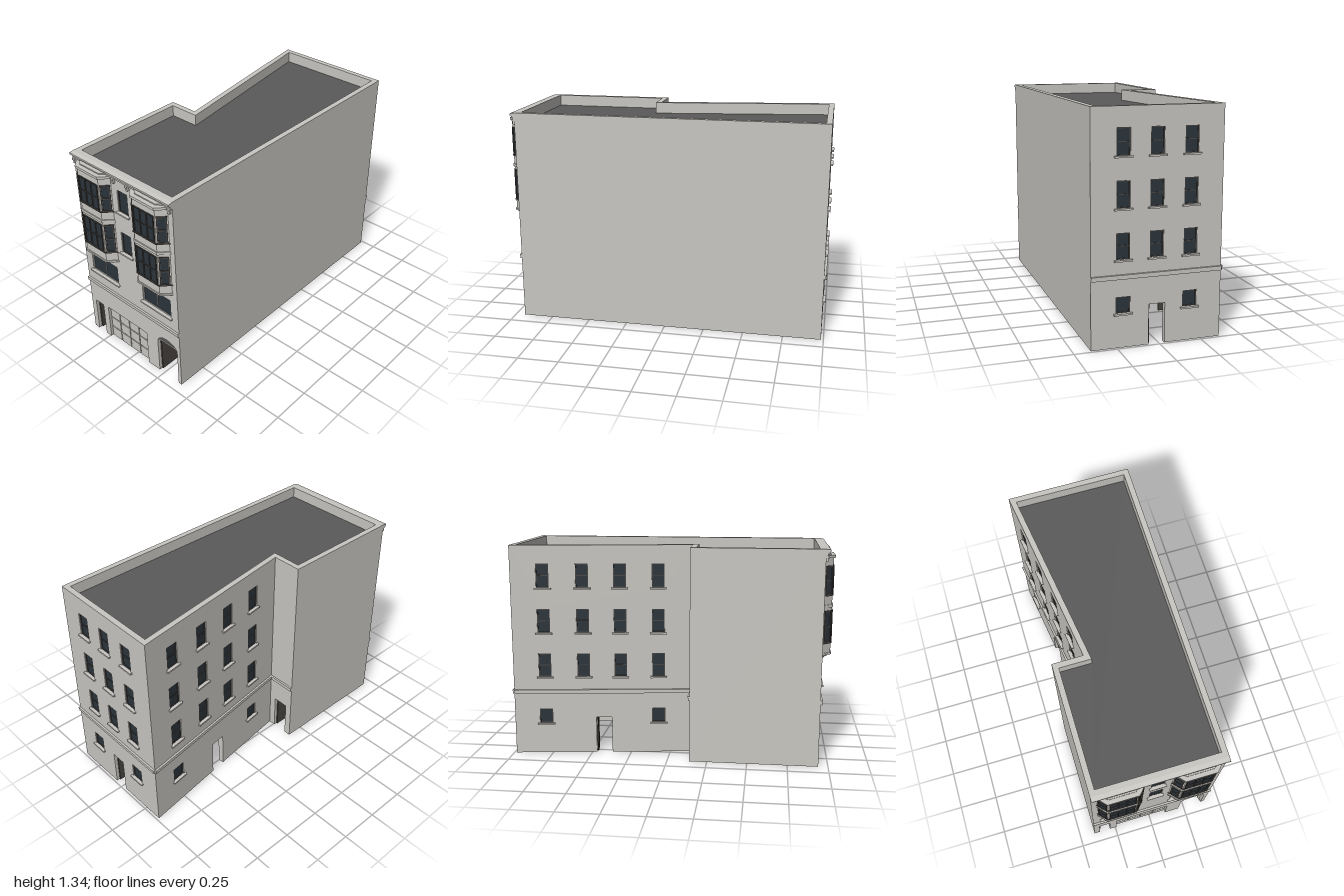
import * as THREE from 'three';

const mat = (name, color) => Object.assign(new THREE.MeshStandardMaterial({ color }), { name });
const wallMat = mat('stone', 0xc9c7c2);
const roofMat = mat('roofing', 0x5a5a5a);
const glassMat = mat('glass', 0x2b343b);
const frameMat = mat('darkFrame', 0x4a4642);

const H = 1.34, T = 0.035, DECK = 1.27;
// footprint corners (x, z), counter-clockwise from above
const PLAN = [[-0.4, 0.94], [0.4, 0.94], [0.4, -0.985], [-0.37, -0.985], [-0.21, 0.14], [-0.4, 0.14]];

function add(parent, name, geometry, material, x = 0, y = 0, z = 0) {
  const m = new THREE.Mesh(geometry, material);
  m.name = name;
  m.position.set(x, y, z);
  parent.add(m);
  return m;
}
const box = (parent, name, material, w, h, d, x, y, z) =>
  add(parent, name, new THREE.BoxGeometry(w, h, d), material, x, y, z);

// glass pane with a grid of sash bars; z is the pane's face
function glazing(parent, cx, cy, w, h, cols, rows, z, bar = 0.005, barMat = frameMat) {
  const g = new THREE.Group();
  g.name = 'window';
  g.position.set(cx, cy, z);
  parent.add(g);
  box(g, 'pane', glassMat, w, h, 0.004, 0, 0, 0);
  for (let i = 0; i <= cols; i++)
    box(g, 'upright', barMat, bar, h, 0.009, (w - bar) * (i / cols - 0.5), 0, 0.002);
  for (let j = 0; j <= rows; j++)
    box(g, 'rail', barMat, w, bar, 0.008, 0, (h - bar) * (j / rows - 0.5), 0.002);
}

// wall in its own frame: x along, y up, z outward; doors cut the outline, windows are holes
function buildWall(parent, L, miterA, miterB, { windows = [], doors = [], band = false }) {
  const s = new THREE.Shape();
  s.moveTo(0, 0);
  for (const d of doors) {
    const a = d.u - d.w / 2, b = d.u + d.w / 2;
    s.lineTo(a, 0);
    s.lineTo(a, d.h);
    if (d.arch) s.absellipse(d.u, d.h, d.w / 2, d.arch, Math.PI, 0, true);
    else s.lineTo(b, d.h);
    s.lineTo(b, 0);
  }
  s.lineTo(L, 0);
  s.lineTo(L, H);
  s.lineTo(0, H);
  s.closePath();
  for (const w of windows) {
    const a = w.u - w.w / 2, b = w.u + w.w / 2, p = new THREE.Path();
    p.moveTo(a, w.y);
    p.lineTo(a, w.y + w.h);
    p.lineTo(b, w.y + w.h);
    p.lineTo(b, w.y);
    p.closePath();
    s.holes.push(p);
  }
  const geo = new THREE.ExtrudeGeometry(s, { depth: T, bevelEnabled: false, curveSegments: 12 });
  geo.translate(0, 0, -T);
  // mitre the inner corners
  const pos = geo.attributes.position;
  for (let i = 0; i < pos.count; i++) {
    const x = pos.getX(i), depth = -pos.getZ(i);
    if (x < 1e-5) pos.setX(i, x + depth * miterA);
    else if (x > L - 1e-5) pos.setX(i, x - depth * miterB);
  }
  geo.computeVertexNormals();
  add(parent, 'wall', geo, wallMat);

  for (const w of windows) {
    glazing(parent, w.u, w.y + w.h / 2, w.w, w.h, w.cols || 1, w.rows || 1, -0.012, 0.005, w.bar);
    box(parent, 'sill', wallMat, w.w + 0.025, 0.01, 0.027, w.u, w.y - 0.005, 0.0015);
  }
  for (const d of doors) {
    if (d.garage) continue;
    // leaf standing open on its left hinge
    const leaf = d.w * 0.85;
    box(parent, 'openDoor', frameMat, 0.008, d.h - 0.004, leaf, d.u - d.w / 2 + 0.006, d.h / 2, -0.02 - leaf / 2);
  }
  if (band) {
    box(parent, 'stringCourse', wallMat, L, 0.026, 0.012, L / 2, 0.408, 0.004);
    box(parent, 'stringCourseLip', wallMat, L, 0.008, 0.018, L / 2, 0.417, 0.004);
  }
}

// slab with the bay's three-sided plan, grown by g
function baySlab(parent, name, y0, y1, g, material = wallMat) {
  const s = new THREE.Shape();
  s.moveTo(-0.138 - g, 0.01);
  s.lineTo(-0.138 - g, 0);
  s.lineTo(-0.088 - g * 0.5, -0.05 - g);
  s.lineTo(0.088 + g * 0.5, -0.05 - g);
  s.lineTo(0.138 + g, 0);
  s.lineTo(0.138 + g, 0.01);
  s.closePath();
  const geo = new THREE.ExtrudeGeometry(s, { depth: y1 - y0, bevelEnabled: false });
  geo.rotateX(-Math.PI / 2);
  add(parent, name, geo, material, 0, y0, 0);
}

function buildBay(parent, x) {
  const bay = new THREE.Group();
  bay.name = 'bayWindow';
  bay.position.set(x, 0, 0.94);
  parent.add(bay);
  baySlab(bay, 'bayBody', 0.7, 1.29, 0);
  baySlab(bay, 'bayLowerCorbel', 0.672, 0.684, -0.035);
  baySlab(bay, 'bayCorbel', 0.684, 0.696, -0.016);
  baySlab(bay, 'bayBaseMoulding', 0.696, 0.708, 0.006);
  baySlab(bay, 'bayMiddleMoulding', 0.985, 1.003, 0.006);
  baySlab(bay, 'bayCornice', 1.282, 1.298, 0.01);
  baySlab(bay, 'bayCap', 1.298, 1.305, -0.016);
  for (const [y0, y1] of [[0.77, 0.967], [1.06, 1.237]]) {
    baySlab(bay, 'baySill', y0 - 0.005, y0 + 0.001, 0.007, frameMat);
    const cy = (y0 + y1) / 2, h = y1 - y0;
    glazing(bay, 0, cy, 0.16, h, 3, 2, 0.05, 0.006);
    for (const side of [-1, 1]) {
      const face = new THREE.Group();
      face.name = 'baySide';
      face.position.set(side * 0.113, 0, 0.025);
      face.rotation.y = side * Math.PI / 4;
      bay.add(face);
      glazing(face, 0, cy, 0.058, h, 1, 2, 0, 0.008);
    }
  }
}

function buildGarageDoor(parent) {
  const g = new THREE.Group();
  g.name = 'garageDoor';
  g.position.set(-0.065, 0, 0.915);
  parent.add(g);
  box(g, 'garageBacking', wallMat, 0.355, 0.245, 0.008, 0, 0.1225, 0);
  for (let i = 0; i < 4; i++)
    for (let j = 0; j < 3; j++)
      box(g, 'garagePanel', wallMat, 0.082, 0.073, 0.008, (i - 1.5) * 0.088, 0.04 + j * 0.08, 0.005);
  box(g, 'garageHead', frameMat, 0.355, 0.007, 0.012, 0, 0.2425, 0.008);
}

export function createModel() {
  const root = new THREE.Group();
  root.name = 'townBuilding';

  const rows = [0.505, 0.79, 1.075];
  const upper = us => us.flatMap(u => rows.map(y => ({ u, y, w: 0.08, h: 0.15, rows: 2 })));
  const low = us => us.map(u => ({ u, y: 0.2, w: 0.085, h: 0.095 }));
  const specs = [
    { // front
      band: true,
      windows: [
        { u: 0.4, y: 1.08, w: 0.08, h: 0.145 },
        { u: 0.4, y: 0.792, w: 0.08, h: 0.145 },
        ...[0.174, 0.625].map(u => ({ u, y: 0.508, w: 0.232, h: 0.13, cols: 2, bar: wallMat })),
      ],
      doors: [
        { u: 0.075, w: 0.072, h: 0.24 },
        { u: 0.335, w: 0.355, h: 0.247, garage: true },
        { u: 0.693, w: 0.165, h: 0.245, arch: 0.055 },
      ],
    },
    {}, // right
    { // back
      band: true,
      windows: [...upper([0.185, 0.38, 0.58]), ...low([0.185, 0.58])],
      doors: [{ u: 0.385, w: 0.095, h: 0.235 }],
    },
    { // slanted side
      band: true,
      windows: [...upper([0.2, 0.445, 0.68, 0.92]), ...low([0.2, 0.92])],
      doors: [{ u: 0.57, w: 0.1, h: 0.235 }],
    },
    { band: true, doors: [{ u: 0.095, w: 0.1, h: 0.235 }] }, // notch
    {}, // left
  ];

  const n = PLAN.length;
  const edges = PLAN.map(([x, z], i) => {
    const [x2, z2] = PLAN[(i + 1) % n];
    return { x, z, L: Math.hypot(x2 - x, z2 - z), angle: Math.atan2(z - z2, x2 - x) };
  });
  // half-angle tangent of the turn into edge i
  const miter = i => Math.tan((edges[i % n].angle - edges[(i + n - 1) % n].angle) / 2);
  const names = ['frontWall', 'rightWall', 'backWall', 'slantedWall', 'notchWall', 'leftWall'];
  const deck = new THREE.Shape();
  edges.forEach((e, i) => {
    const g = new THREE.Group();
    g.name = names[i];
    g.position.set(e.x, 0, e.z);
    g.rotation.y = e.angle;
    root.add(g);
    buildWall(g, e.L, miter(i), miter(i + 1), specs[i]);
    const c = Math.cos(e.angle), s = Math.sin(e.angle), k = T * miter(i);
    const px = e.x + k * c - T * s, pz = e.z - k * s - T * c;
    if (i) deck.lineTo(px, -pz);
    else deck.moveTo(px, -pz);
  });

  // roof deck inside the parapet
  const deckGeo = new THREE.ExtrudeGeometry(deck, { depth: 0.02, bevelEnabled: false });
  deckGeo.rotateX(-Math.PI / 2);
  add(root, 'roofDeck', deckGeo, roofMat, 0, DECK - 0.02, 0);

  // front cornice and its brackets
  const p = [[0, 1.295], [0.008, 1.295], [0.011, 1.31], [0.018, 1.319], [0.028, 1.325], [0.028, 1.336], [0, 1.34]];
  const cornice = new THREE.Shape(p.map(([z, y]) => new THREE.Vector2(z, y)));
  const corniceGeo = new THREE.ExtrudeGeometry(cornice, { depth: 0.8, bevelEnabled: false });
  corniceGeo.translate(0, 0, -0.4);
  corniceGeo.rotateY(-Math.PI / 2);
  add(root, 'cornice', corniceGeo, wallMat, 0, 0, 0.94);
  for (const x of [-0.384, -0.057, 0.057, 0.384]) {
    box(root, 'bracket', wallMat, 0.013, 0.03, 0.014, x, 1.281, 0.947);
    box(root, 'bracketHead', wallMat, 0.02, 0.012, 0.02, x, 1.293, 0.949);
  }

  buildBay(root, -0.226);
  buildBay(root, 0.226);
  buildGarageDoor(root);

  // fanlight over the arched door
  const fan = new THREE.Shape();
  fan.absellipse(0, 0, 0.0825, 0.055, 0, Math.PI, false);
  fan.closePath();
  add(root, 'fanlight', new THREE.ExtrudeGeometry(fan, { depth: 0.008, bevelEnabled: false }), roofMat, 0.293, 0.245, 0.912);
  box(root, 'transom', wallMat, 0.165, 0.008, 0.016, 0.293, 0.245, 0.916);
  return root;
}
